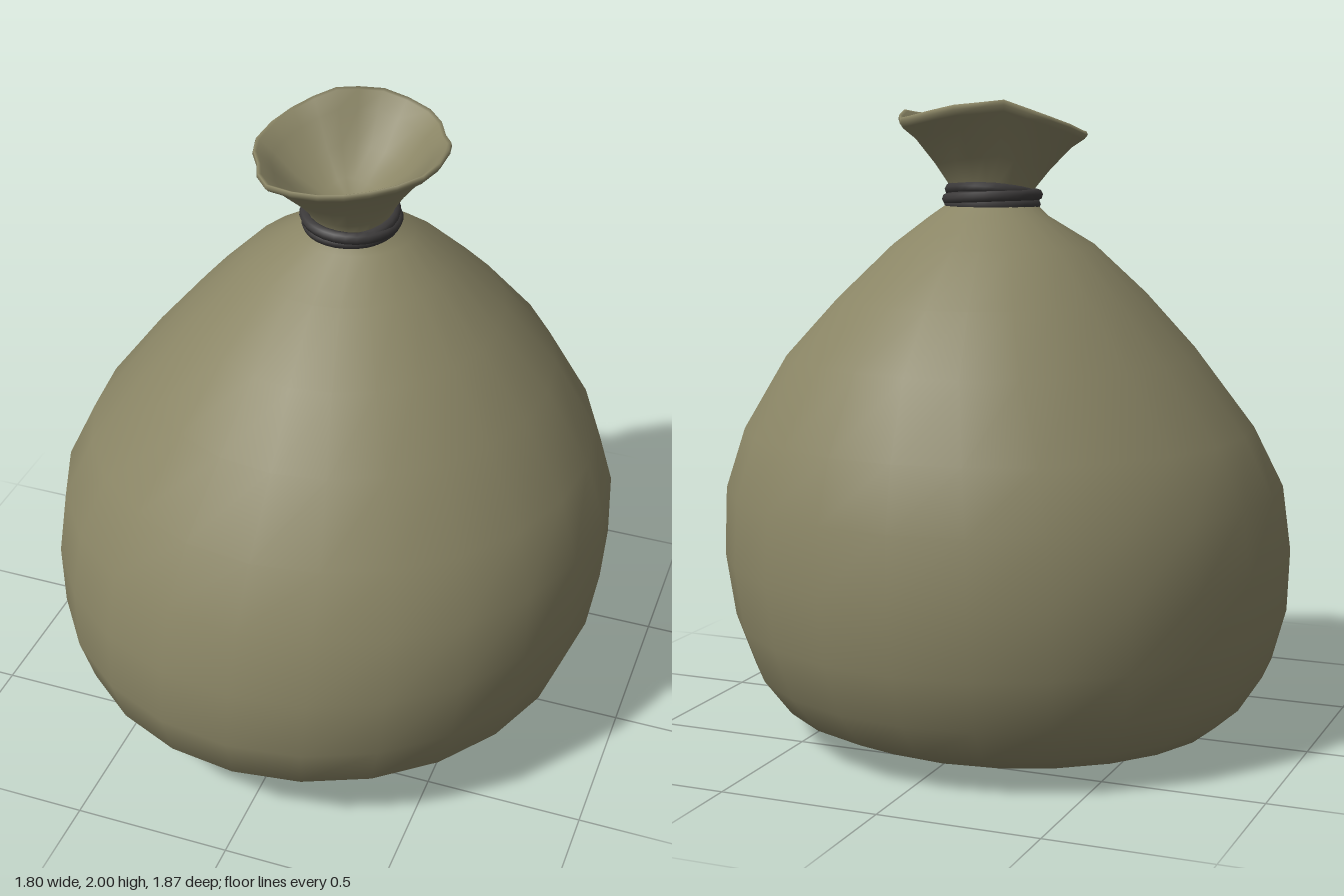
import * as THREE from 'three';

const SIDES = 24;
const NECK = { x: 0.03, y: 1.69, z: -0.06, r: 0.125 };

// Skins closed rings of points, with a single point at each closed end
function loft(rings, startTip, endTip) {
  const pos = rings.flat(2);
  const index = [];
  const at = (i, j) => i * SIDES + (j % SIDES);
  for (let i = 0; i < rings.length - 1; i++) {
    for (let j = 0; j < SIDES; j++) {
      index.push(at(i, j), at(i + 1, j), at(i, j + 1));
      index.push(at(i, j + 1), at(i + 1, j), at(i + 1, j + 1));
    }
  }
  const addTip = (tip, ring, flip) => {
    const t = pos.length / 3;
    pos.push(...tip);
    for (let j = 0; j < SIDES; j++) {
      if (flip) index.push(t, at(ring, j), at(ring, j + 1));
      else index.push(t, at(ring, j + 1), at(ring, j));
    }
  };
  if (startTip) addTip(startTip, 0, true);
  if (endTip) addTip(endTip, rings.length - 1, false);
  const geometry = new THREE.BufferGeometry();
  geometry.setAttribute('position', new THREE.Float32BufferAttribute(pos, 3));
  geometry.setIndex(index);
  geometry.computeVertexNormals();
  return geometry;
}

function makeRing(pointAt) {
  return Array.from({ length: SIDES }, (_, j) => pointAt((j / SIDES) * Math.PI * 2, j));
}

export function createModel() {
  const group = new THREE.Group();
  const cloth = new THREE.MeshStandardMaterial({ color: 0x8a8565, side: THREE.DoubleSide });
  const cord = new THREE.MeshStandardMaterial({ color: 0x3c3a3a });
  const add = (name, geometry, material) => {
    const mesh = new THREE.Mesh(geometry, material);
    mesh.name = name;
    group.add(mesh);
    return mesh;
  };

  // Sagging body: y, then the left, right, back and front reach of each ring
  const sections = [
    [0.005, -0.3, 0.3, -0.3, 0.3],
    [0.025, -0.58, 0.45, -0.5, 0.46],
    [0.05, -0.71, 0.6, -0.66, 0.6],
    [0.11, -0.78, 0.72, -0.79, 0.76],
    [0.22, -0.85, 0.81, -0.87, 0.88],
    [0.38, -0.893, 0.87, -0.92, 0.935],
    [0.58, -0.904, 0.9, -0.935, 0.93],
    [0.79, -0.88, 0.893, -0.91, 0.885],
    [0.98, -0.79, 0.825, -0.85, 0.79],
    [1.21, -0.615, 0.68, -0.73, 0.645],
    [1.39, -0.46, 0.51, -0.58, 0.46],
    [1.55, -0.3, 0.34, -0.4, 0.25],
    [1.64, -0.16, 0.22, -0.26, 0.09],
    [NECK.y, NECK.x - NECK.r, NECK.x + NECK.r, NECK.z - NECK.r, NECK.z + NECK.r],
  ];
  const bodyRings = sections.map(([y, x0, x1, z0, z1]) => makeRing((a) => [
    (x0 + x1) / 2 + Math.cos(a) * (x1 - x0) / 2,
    y,
    (z0 + z1) / 2 + Math.sin(a) * (z1 - z0) / 2,
  ]));
  add('sackBody', loft(bodyRings, [0, 0, 0], null), cloth);

  // Uneven rim of the mouth: radius and height every 30 degrees, from +x towards +z
  const rim = [
    [0.305, 1.97], [0.32, 1.955], [0.29, 1.925], [0.3, 1.912], [0.33, 1.91], [0.287, 1.9],
    [0.31, 1.905], [0.29, 1.95], [0.265, 2.0], [0.305, 1.985], [0.32, 1.952], [0.29, 1.94],
  ];
  const rimAt = (j) => {
    const k = (j * rim.length) / SIDES;
    const p = rim[Math.floor(k)];
    const q = rim[Math.ceil(k) % rim.length];
    const t = k % 1;
    return [p[0] + (q[0] - p[0]) * t, p[1] + (q[1] - p[1]) * t];
  };

  // Flared mouth: out from the neck, over the lip and back down inside
  const flare = [
    [0, 0], [0.06, 0.18], [0.33, 0.45], [0.7, 0.76], [0.94, 0.89], [1, 0.95],
    [0.98, 1], [0.92, 0.98], [0.68, 0.82], [0.3, 0.52], [-0.2, 0.28],
  ];
  const mouthRings = flare.map(([out, up]) => makeRing((a, j) => {
    const [r, top] = rimAt(j);
    const radius = NECK.r + (r - NECK.r) * out;
    return [
      NECK.x + Math.cos(a) * radius,
      NECK.y + (top - NECK.y) * up,
      NECK.z + Math.sin(a) * radius,
    ];
  }));
  add('sackMouth', loft(mouthRings, null, [NECK.x, 1.73, NECK.z]), cloth);

  // Cord wound around the neck: height, radius, tilt about x and about z
  const coils = [
    [1.677, 0.133, 0.02, 0.0],
    [1.7, 0.14, 0.03, -0.06],
    [1.71, 0.132, 0.19, 0.02],
  ];
  coils.forEach(([y, r, tiltX, tiltZ], i) => {
    const geometry = new THREE.TorusGeometry(r, 0.019, 8, 28).rotateX(Math.PI / 2);
    const coil = add(`neckCord${i + 1}`, geometry, cord);
    coil.position.set(NECK.x, y, NECK.z);
    coil.rotation.set(tiltX, 0, tiltZ);
  });

  return group;
}
